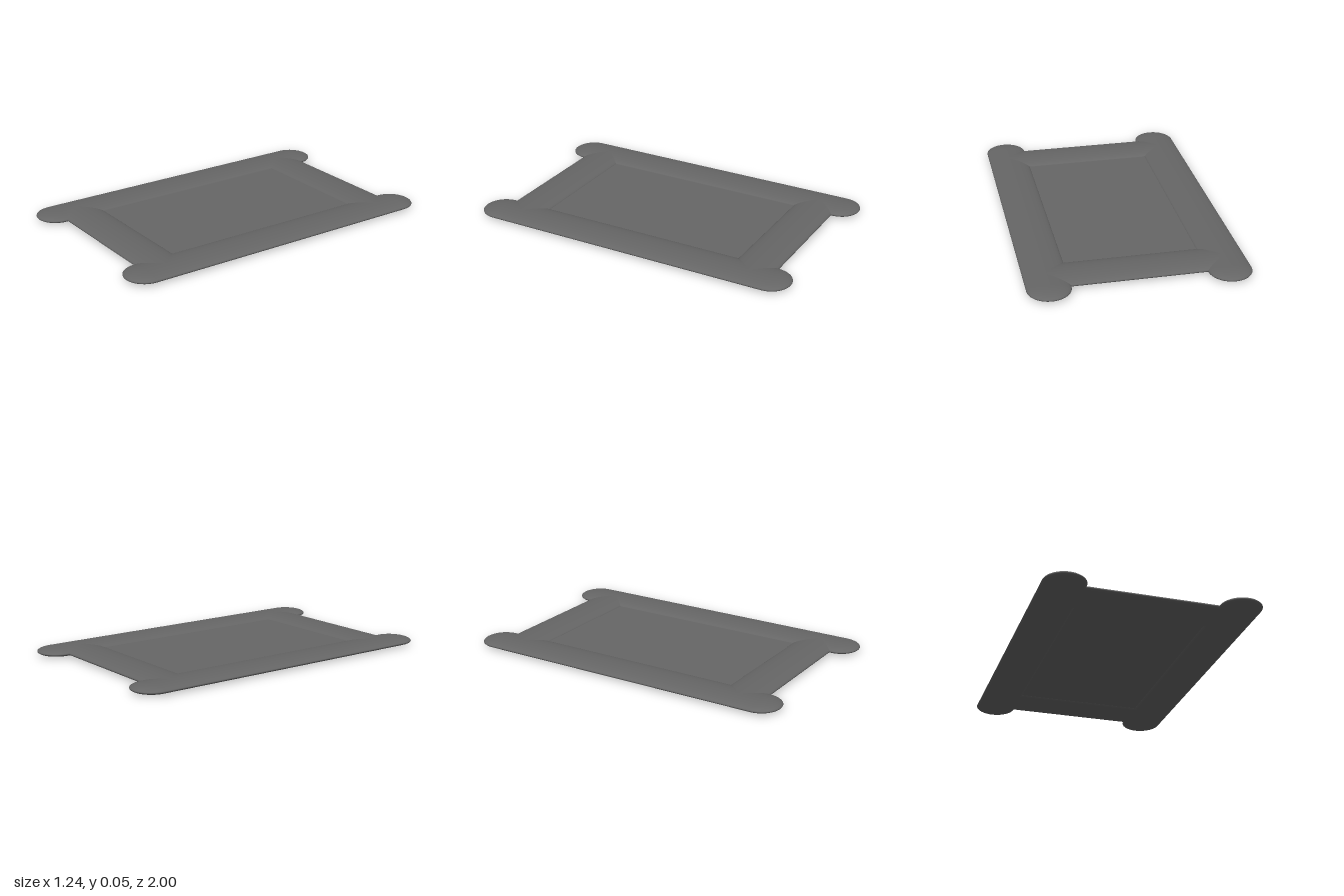
import * as THREE from 'three';

export function createModel() {
  const group = new THREE.Group();
  const gray = new THREE.MeshStandardMaterial({ color: 0x666666 });
  gray.name = 'dark gray';

  const RADIUS = 0.122, MID = 0.026, FLAT = 0.024 / RADIUS;

  const add = (name, geometry, x, z) => {
    const mesh = new THREE.Mesh(geometry, gray);
    mesh.name = name;
    mesh.position.set(x, MID, z);
    group.add(mesh);
  };

  // Flattened capsule lying along z
  const rail = new THREE.CapsuleGeometry(RADIUS, 2 * (1 - RADIUS), 12, 40)
    .rotateX(Math.PI / 2).scale(1, FLAT, 1);
  // Flattened tube along x, its ends buried in the side rails
  const bar = new THREE.CylinderGeometry(RADIUS, RADIUS, 1, 40, 1, true)
    .rotateZ(Math.PI / 2).scale(1, FLAT, 1);

  for (const [side, s] of [['left', 1], ['right', -1]]) add(side + 'SideRail', rail, s * 0.5, 0);
  for (const [end, s] of [['front', 1], ['back', -1]]) add(end + 'CrossBar', bar, 0, s * 0.75);

  // Thin sheet filling the frame
  add('centrePanel', new THREE.BoxGeometry(0.78, 0.006, 1.28), 0, 0);

  return group;
}
